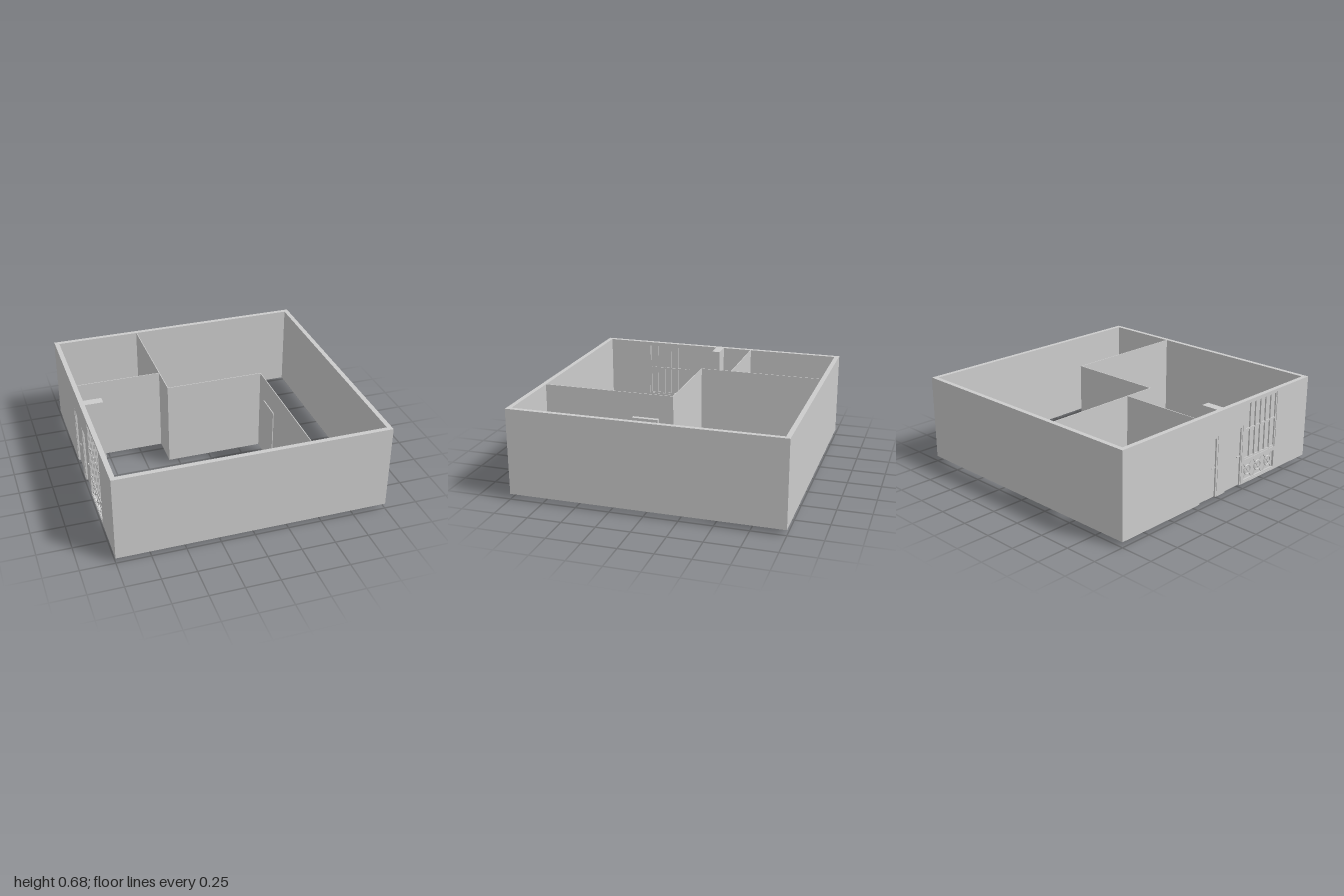
import * as THREE from 'three';

const Y0 = 0.04, Y1 = 0.68, T = 0.035; // wall base, wall top, outer wall thickness

export function createModel() {
  const house = new THREE.Group();
  house.name = 'roomLayout';
  const material = new THREE.MeshStandardMaterial({ color: 0xcccccc, flatShading: true });

  const add = (parent, name, geometry) => {
    const mesh = new THREE.Mesh(geometry, material);
    mesh.name = name;
    parent.add(mesh);
    return mesh;
  };
  // Box given by its limits on each axis
  const box = (parent, name, [x0, x1], [y0, y1], [z0, z1]) => {
    const mesh = add(parent, name, new THREE.BoxGeometry(x1 - x0, y1 - y0, z1 - z0));
    mesh.position.set((x0 + x1) / 2, (y0 + y1) / 2, (z0 + z1) / 2);
    return mesh;
  };
  const group = (name) => {
    const g = new THREE.Group();
    g.name = name;
    house.add(g);
    return g;
  };

  // Three plain outer walls
  const H = [Y0, Y1];
  box(house, 'frontWall', [-1, 1], H, [1 - T, 1]);
  box(house, 'backWall', [-1, 1], H, [-1, T - 1]);
  box(house, 'leftWall', [1 - T, 1], H, [T - 1, 1 - T]);

  // Entrance wall, drawn in (z, y), notched for two doors and pierced for window and vent
  const doors = [[-0.25, -0.05], [0.025, 0.225]];
  const doorTop = 0.5;
  const win = { z: [0.25, 0.62], y: [0.225, 0.66] };
  const vent = { z: [0.25, 0.61], y: [0.055, 0.205] };
  const end = 1 - T;
  const outline = new THREE.Shape().moveTo(-end, Y0);
  for (const [a, b] of doors) outline.lineTo(a, Y0).lineTo(a, doorTop).lineTo(b, doorTop).lineTo(b, Y0);
  outline.lineTo(end, Y0).lineTo(end, Y1).lineTo(-end, Y1).closePath();
  for (const { z, y } of [win, vent]) {
    outline.holes.push(new THREE.Path().moveTo(z[0], y[0]).lineTo(z[0], y[1])
      .lineTo(z[1], y[1]).lineTo(z[1], y[0]).closePath());
  }
  const wallGeometry = new THREE.ExtrudeGeometry(outline, { depth: T, bevelEnabled: false });
  add(house, 'entranceWall', wallGeometry.rotateY(-Math.PI / 2).translate(T - 1, 0, 0));

  // Doors with frames and lever handles on both faces
  doors.forEach(([a, b], i) => {
    const door = group('entranceDoor' + (i + 1));
    const f = 0.015, depth = [-0.997, -0.967];
    box(door, 'doorPanel', [-0.985, -0.971], [Y0, doorTop - f], [a + f, b - f]);
    box(door, 'doorFrameSide', depth, [Y0, doorTop], [a, a + f]);
    box(door, 'doorFrameSide', depth, [Y0, doorTop], [b - f, b]);
    box(door, 'doorFrameTop', depth, [doorTop - f, doorTop], [a + f, b - f]);
    const hz = b - 0.028, hy = 0.27;
    const spindle = add(door, 'handleSpindle', new THREE.CylinderGeometry(0.005, 0.005, 0.048, 10));
    spindle.rotation.z = Math.PI / 2;
    spindle.position.set(-0.974, hy, hz);
    for (const x of [-0.998, -0.955]) {
      box(door, 'handleLever', [x, x + 0.006], [hy - 0.004, hy + 0.004], [hz - 0.03, hz + 0.006]);
    }
  });

  // Window: panes, outer frame, upright bars and a transom
  const windowGroup = group('window');
  const barDepth = [-0.996, -0.968], fw = 0.012;
  box(windowGroup, 'windowPane', [-0.985, -0.977], win.y, win.z);
  const bars = 6;
  for (let i = 0; i <= bars; i++) {
    const z = win.z[0] + fw / 2 + (win.z[1] - win.z[0] - fw) * i / bars;
    box(windowGroup, 'windowBar', barDepth, win.y, [z - fw / 2, z + fw / 2]);
  }
  for (const y of [win.y[0], 0.45, win.y[1] - fw]) {
    box(windowGroup, 'windowRail', [-0.994, -0.97], [y, y + fw], win.z);
  }

  // Ornamental panel under the window: crossed bars and rings
  const panel = group('ornamentalPanel');
  box(panel, 'panelBack', [-0.984, -0.967], vent.y, vent.z);
  for (const y of [vent.y[0], vent.y[1] - 0.01]) {
    box(panel, 'panelRail', [-0.997, -0.984], [y, y + 0.01], vent.z);
  }
  const cells = 3, cw = (vent.z[1] - vent.z[0]) / cells, ch = vent.y[1] - vent.y[0];
  for (let i = 0; i < cells; i++) {
    const z = vent.z[0] + cw * (i + 0.5), y = (vent.y[0] + vent.y[1]) / 2;
    for (const s of [-1, 1]) {
      const cross = add(panel, 'panelCross', new THREE.BoxGeometry(0.008, 0.008, Math.hypot(cw, ch) - 0.02));
      cross.position.set(-0.988, y, z);
      cross.rotation.x = s * Math.atan2(ch, cw);
    }
    const ring = add(panel, 'panelRing', new THREE.TorusGeometry(0.036, 0.005, 6, 20));
    ring.rotation.y = Math.PI / 2;
    ring.position.set(-0.988, y, z);
  }

  // Pier between the two doors
  box(house, 'entrancePier', [T - 1, -0.83], H, [-0.035, 0.03]);

  // Thin inner partitions
  const t = 0.003;
  box(house, 'partitionBack', [-0.33 - t, -0.33 + t], H, [T - 1, -0.025 + t]);
  box(house, 'partitionSide', [T - 1, -0.33 - t], H, [-0.265 - t, -0.265 + t]);
  box(house, 'partitionMiddle', [-0.33 + t, 0.4 - t], H, [-0.025 - t, -0.025 + t]);
  box(house, 'partitionFront', [0.4 - t, 0.4 + t], H, [-0.025 - t, 1 - T]);

  // Inner door set through the front partition
  box(house, 'innerDoor', [0.39, 0.435], [0, 0.5], [0.08, 0.28]);

  return house;
}
